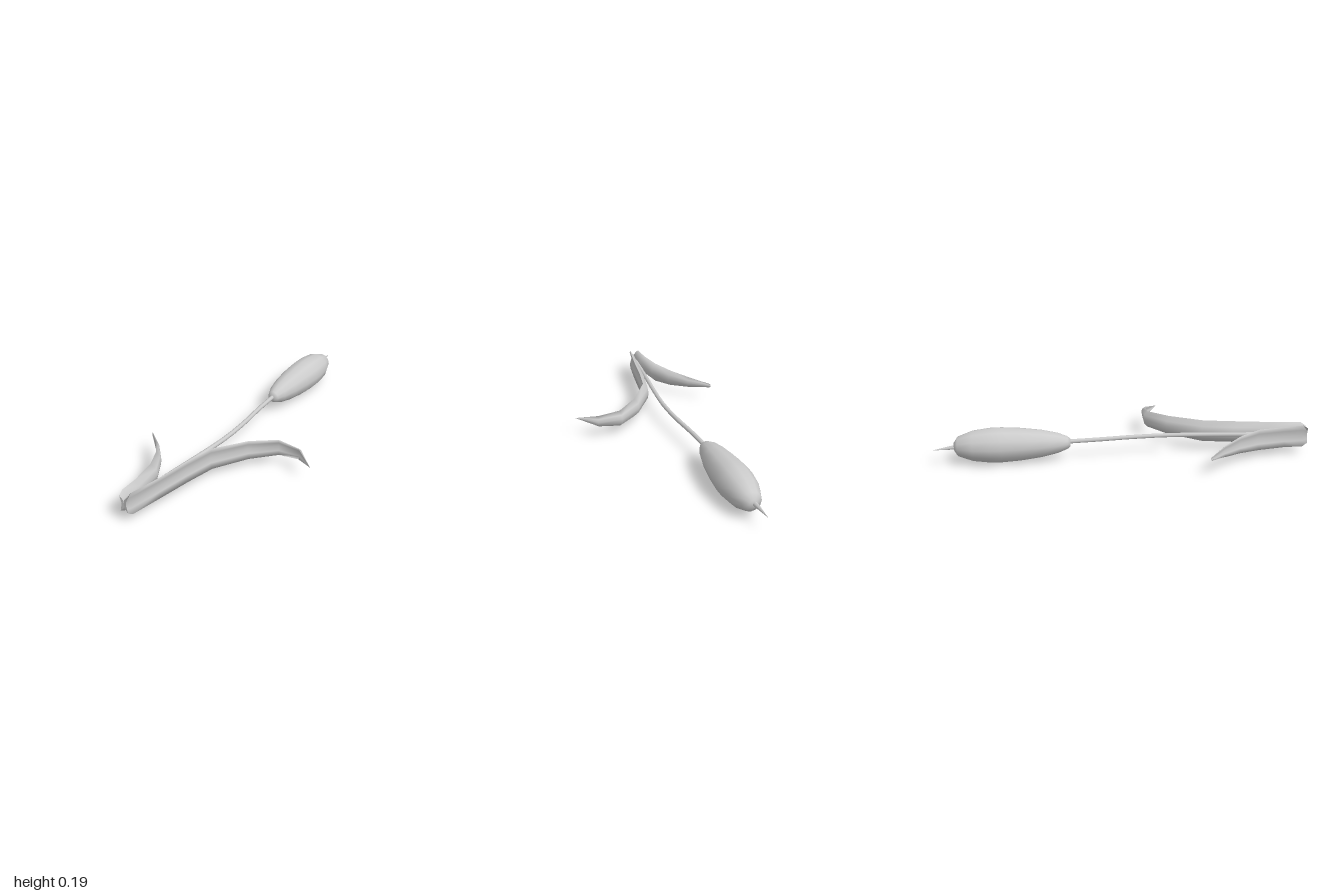
import * as THREE from 'three';

const V = (x, y, z) => new THREE.Vector3(x, y, z);
const Y = 0.097;

// Leaf swept along [x, z, halfWidth, thickness] stations; side +1 bends to +x, -1 to -x
function leafGeometry(stations, side) {
  // crescent section: [across, outward], hollow on the outer face with a keel towards the stem
  const section = [[1, 0.012], [0.5, 0.004], [0, -0.001], [-0.5, 0.004],
    [-1, 0.012], [-0.55, -0.011], [0, -0.016], [0.55, -0.011]];
  const n = section.length, last = stations.length - 1;
  const pos = [], idx = [];
  const tri = (a, b, c) => (side > 0 ? idx.push(a, b, c) : idx.push(a, c, b));

  stations.forEach(([x, z, w, t], i) => {
    const p = stations[Math.max(i - 1, 0)], q = stations[Math.min(i + 1, last)];
    const len = Math.hypot(q[0] - p[0], q[1] - p[1]);
    const nx = -(q[1] - p[1]) / len * side, nz = (q[0] - p[0]) / len * side;
    for (const [u, o] of section) pos.push(x + nx * o * t, Y + u * w, z + nz * o * t);
  });
  for (let i = 0; i < last; i++) {
    for (let j = 0; j < n; j++) {
      const a = i * n + j, b = i * n + (j + 1) % n;
      tri(a, b, a + n);
      tri(b, b + n, a + n);
    }
  }
  // separate cap closing the cut base
  const cap = pos.length / 3;
  pos.push(...pos.slice(0, n * 3));
  const mid = pos.length / 3;
  pos.push(stations[0][0], Y, stations[0][1]);
  for (let j = 0; j < n; j++) tri(mid, cap + (j + 1) % n, cap + j);

  const g = new THREE.BufferGeometry();
  g.setAttribute('position', new THREE.Float32BufferAttribute(pos, 3));
  g.setIndex(idx);
  g.computeVertexNormals();
  return g;
}

export function createModel() {
  const group = new THREE.Group();
  const material = new THREE.MeshStandardMaterial({ color: 0xcccccc, side: THREE.DoubleSide });
  const add = (name, geometry) => {
    const mesh = new THREE.Mesh(geometry, material);
    mesh.name = name;
    group.add(mesh);
    return mesh;
  };

  // Gently bowed stem
  const path = new THREE.CatmullRomCurve3([
    V(-0.131, 0.1, 0.985), V(-0.108, 0.1, 0.65), V(-0.091, 0.1, 0.45), V(-0.08, 0.1, 0.25),
    V(-0.089, 0.1, 0.05), V(-0.108, 0.1, -0.12), V(-0.122, 0.099, -0.31)]);
  add('stem', new THREE.TubeGeometry(path, 16, 0.012, 8));
  add('stemEnd', new THREE.CircleGeometry(0.012, 8)).position.set(-0.131, 0.1, 0.985);

  // Seed head, turned along -z
  const profile = [[0, 0.28], [0.022, 0.28], [0.034, 0.295], [0.054, 0.345], [0.073, 0.43],
    [0.087, 0.54], [0.0935, 0.64], [0.0925, 0.7], [0.081, 0.79], [0.052, 0.868], [0.02, 0.888], [0, 0.888]]
    .map(([r, h]) => new THREE.Vector2(r, h));
  const head = add('seedHead', new THREE.LatheGeometry(profile, 12));
  head.rotation.x = -Math.PI / 2;
  head.position.set(-0.122, 0.0945, 0);

  // Thin spike beyond the head
  const from = V(-0.13, 0.094, -0.87), to = V(-0.144, 0.084, -1);
  const dir = to.clone().sub(from);
  const spike = add('spike', new THREE.ConeGeometry(0.015, dir.length(), 6));
  spike.quaternion.setFromUnitVectors(V(0, 1, 0), dir.clone().normalize());
  spike.position.copy(from).addScaledVector(dir, 0.5);

  // Long drooping leaf
  add('longLeaf', leafGeometry([
    [-0.119, 0.998, 0.042, 0.9], [-0.116, 0.97, 0.06, 1], [-0.09, 0.8, 0.058, 1.1],
    [-0.066, 0.61, 0.06, 1.2], [-0.035, 0.445, 0.06, 1.2], [0.077, 0.27, 0.054, 1.1],
    [0.2, 0.163, 0.046, 0.85], [0.328, 0.165, 0.032, 0.7], [0.436, 0.252, 0.001, 0.05]], 1));

  // Short leaf
  add('shortLeaf', leafGeometry([
    [-0.144, 0.998, 0.042, 0.9], [-0.145, 0.97, 0.06, 1], [-0.152, 0.87, 0.057, 1.1],
    [-0.178, 0.72, 0.058, 1.2], [-0.242, 0.605, 0.048, 0.9], [-0.33, 0.505, 0.032, 0.6],
    [-0.432, 0.418, 0.011, 0.2], [-0.438, 0.413, 0.005, 0.05]], -1));

  return group;
}
